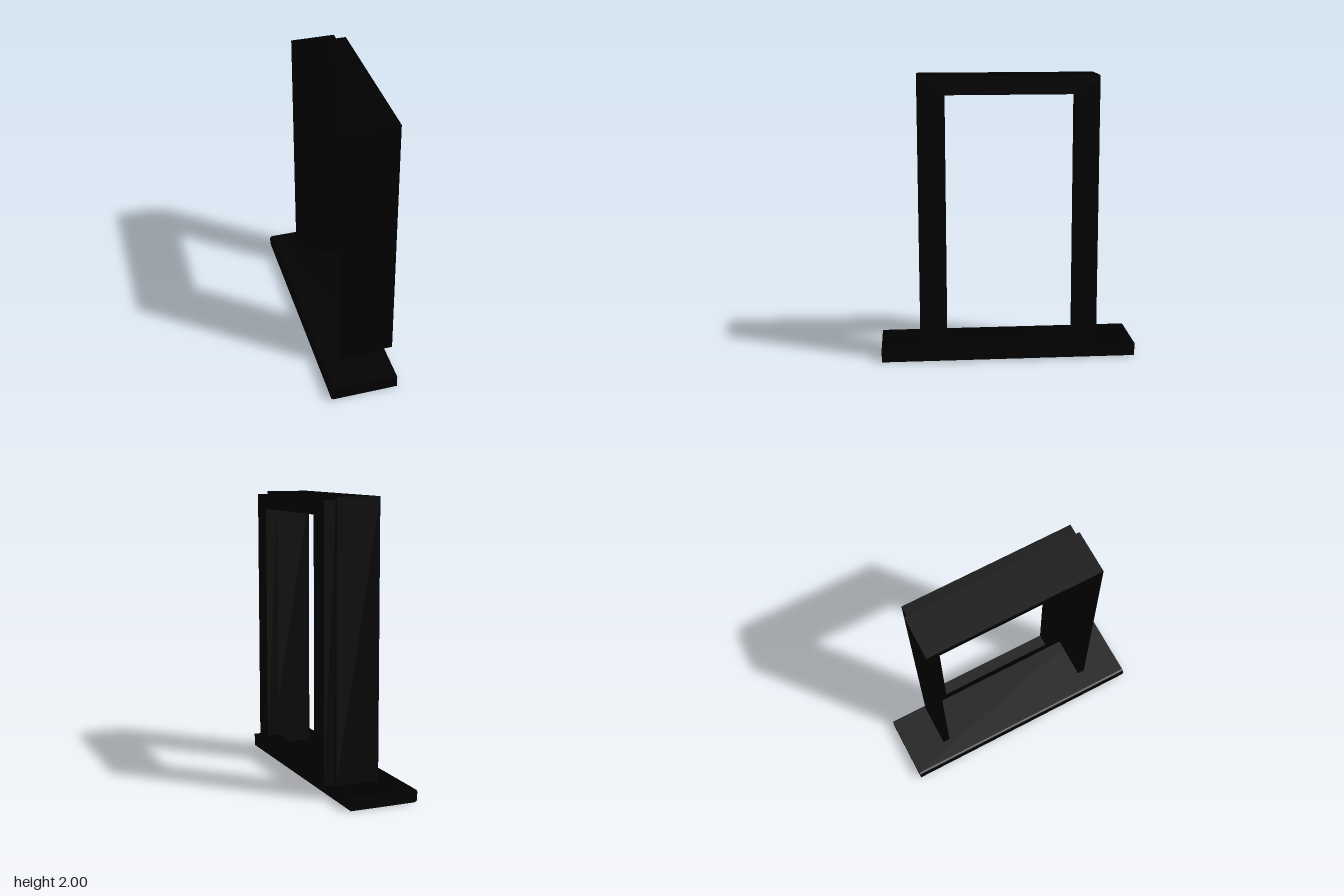
import * as THREE from 'three';

const material = new THREE.MeshStandardMaterial({ color: 0x000000 });

function addMesh(group, name, geometry) {
  const mesh = new THREE.Mesh(geometry, material);
  mesh.name = name;
  group.add(mesh);
}

// Symmetric outline in (z, y), extruded along x from x0 to x1
function extrudeAlongX(points, hole, x0, x1) {
  const toVectors = (list) => list.map(([z, y]) => new THREE.Vector2(z, y));
  const shape = new THREE.Shape(toVectors(points));
  if (hole) shape.holes.push(new THREE.Path(toVectors(hole)));
  const geometry = new THREE.ExtrudeGeometry(shape, { depth: x1 - x0, bevelEnabled: false });
  return geometry.rotateY(Math.PI / 2).translate(x0, 0, 0);
}

// Counter-clockwise rectangle
const rect = (halfWidth, bottom, top) => [
  [-halfWidth, bottom], [halfWidth, bottom], [halfWidth, top], [-halfWidth, top],
];

export function createModel() {
  const group = new THREE.Group();
  group.name = 'windowFrame';

  // Thin deep lining: two jambs and a head, standing on the sill
  const lining = [
    [-0.625, 0.09], [-0.625, 2], [0.625, 2], [0.625, 0.09],
    [0.573, 0.09], [0.573, 1.948], [-0.573, 1.948], [-0.573, 0.09],
  ];
  addMesh(group, 'lining', extrudeAlongX(lining, null, -0.12, 0.19));

  // Wide flat casing around the opening
  addMesh(group, 'casing', extrudeAlongX(rect(0.605, 0.09, 1.98), rect(0.44, 0.19, 1.88), 0.185, 0.272));

  // Sill board with a rounded nose on its outer edge
  const r = 0.022;
  const nose = -0.272;
  const profile = new THREE.Shape();
  profile.moveTo(0.211, 0);
  profile.lineTo(0.211, 0.09);
  profile.lineTo(nose + r, 0.09);
  profile.absarc(nose + r, 0.09 - r, r, Math.PI / 2, Math.PI, false);
  profile.absarc(nose + r, r, r, Math.PI, Math.PI * 1.5, false);
  profile.closePath();
  const sill = new THREE.ExtrudeGeometry(profile, { depth: 1.8, bevelEnabled: false, curveSegments: 6 });
  addMesh(group, 'sill', sill.translate(0, 0, -0.9));

  return group;
}
